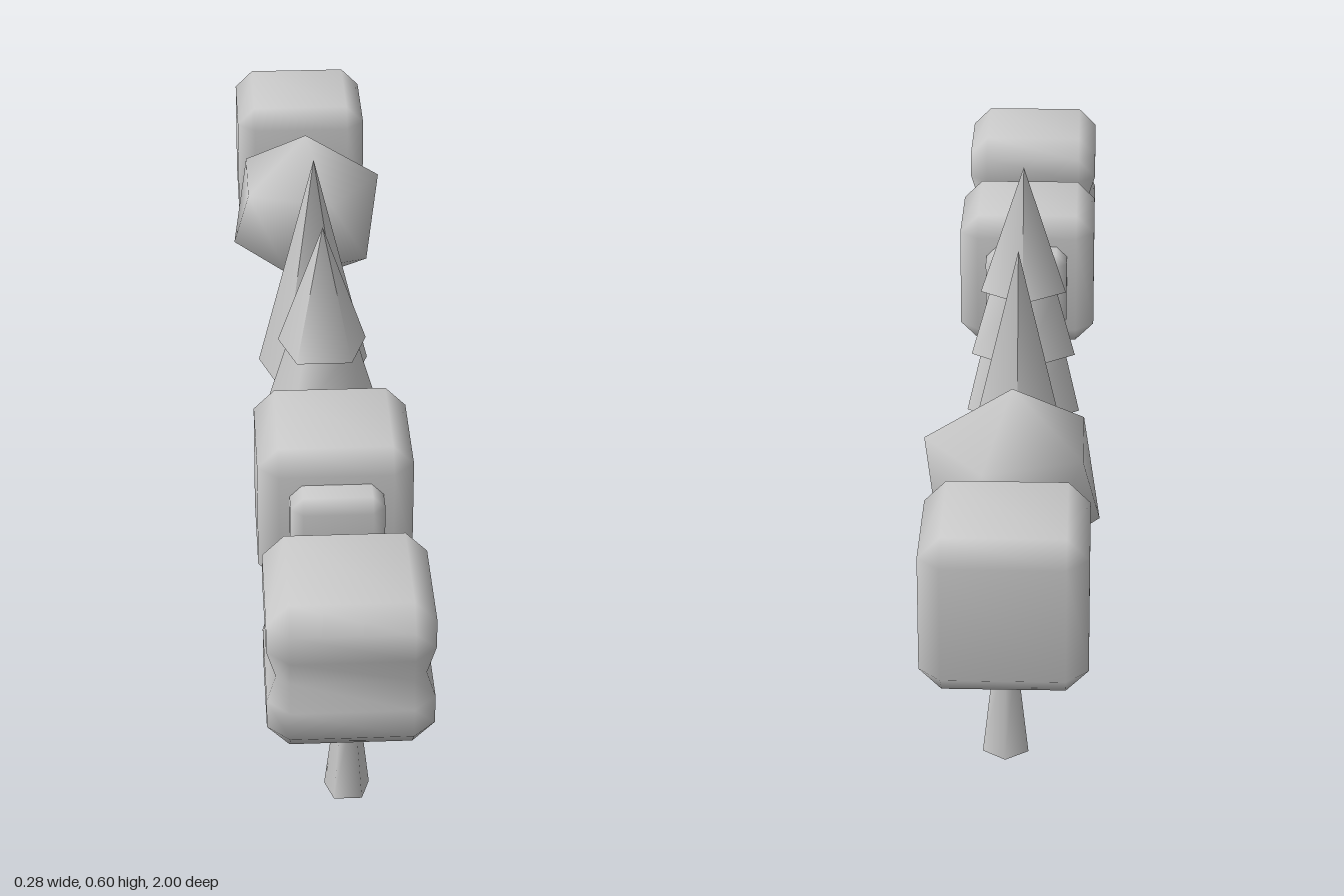
import * as THREE from 'three';
import { mergeVertices } from 'three/addons/utils/BufferGeometryUtils.js';

const material = new THREE.MeshStandardMaterial({ color: 0xcccccc });

function add(parent, name, geometry, y = 0, z = 0) {
  const mesh = new THREE.Mesh(geometry, material);
  mesh.name = name;
  mesh.position.set(0, y, z);
  parent.add(mesh);
  return mesh;
}

// Joins shared corners so the shading runs smoothly over the whole form
function smooth(geometry) {
  geometry.deleteAttribute('normal');
  geometry.deleteAttribute('uv');
  const merged = mergeVertices(geometry, 1e-5);
  merged.computeVertexNormals();
  return merged;
}

// Chamfered cube lofted from eight-cornered rings, optionally pinched at the waist
function chamferedCube(half, bevel, waist = 0) {
  const inner = half - bevel;
  const rings = [[-half, inner], [-inner, half]];
  if (waist) rings.push([-0.045, half], [0, half - waist], [0.045, half]);
  rings.push([inner, half], [half, inner]);

  const corners = rings.map(([y, a]) => {
    const c = Math.min(a, inner);
    return [[a, c], [c, a], [-c, a], [-a, c], [-a, -c], [-c, -a], [c, -a], [a, -c]]
      .map(([x, z]) => [x, y, z]);
  });
  const points = [];
  const tri = (a, b, c) => {
    const [p, q, r] = [a, b, c].map((v) => new THREE.Vector3(...v));
    if (q.sub(p).cross(r.sub(p)).length() > 1e-8) points.push(...a, ...b, ...c);
  };
  for (let i = 0; i < corners.length - 1; i++) {
    for (let j = 0; j < 8; j++) {
      const k = (j + 1) % 8;
      const [lo, hi] = [corners[i], corners[i + 1]];
      tri(lo[j], hi[j], hi[k]);
      tri(lo[j], hi[k], lo[k]);
    }
  }
  // Top and bottom faces, one corner from each doubled pair
  const top = corners[corners.length - 1], bottom = corners[0];
  tri(top[0], top[6], top[4]);
  tri(top[0], top[4], top[2]);
  tri(bottom[0], bottom[2], bottom[4]);
  tri(bottom[0], bottom[4], bottom[6]);

  const geometry = new THREE.BufferGeometry();
  geometry.setAttribute('position', new THREE.Float32BufferAttribute(points, 3));
  return smooth(geometry);
}

// Five-sided frustum standing on y = 0, one corner pointing backward
function frustum(topRadius, bottomRadius, height) {
  return new THREE.CylinderGeometry(topRadius, bottomRadius, height, 5)
    .rotateY(Math.PI)
    .translate(0, height / 2, 0);
}

function tree(parent, name, z) {
  const group = new THREE.Group();
  group.name = name;
  group.position.z = z;
  add(group, 'trunk', frustum(0.017, 0.037, 0.17));
  parent.add(group);
  return group;
}

export function createModel() {
  const model = new THREE.Group();
  model.name = 'treeRow';

  // Block tree with a pinched waist
  const waisted = tree(model, 'waistedTree', 0.873);
  add(waisted, 'crown', chamferedCube(0.127, 0.034, 0.014), 0.285);

  // Block tree with a smaller block on its front and back
  const clustered = tree(model, 'clusteredTree', 0.435);
  add(clustered, 'crown', chamferedCube(0.127, 0.034), 0.285);
  for (const side of [-1, 1]) {
    add(clustered, 'sideCrown', chamferedCube(0.076, 0.02), 0.287, side * 0.11);
  }

  // Tiered pine
  const pine = tree(model, 'tieredPine', 0.108);
  add(pine, 'lowerTier', frustum(0.08, 0.108, 0.115), 0.132);
  add(pine, 'middleTier', frustum(0.062, 0.099, 0.125), 0.243);
  add(pine, 'topTier', frustum(0, 0.081, 0.231), 0.364);

  // Plain pine
  const cone = tree(model, 'plainPine', -0.22);
  add(cone, 'crown', frustum(0, 0.108, 0.433), 0.132);

  // Round tree, its crown standing on a point
  const round = tree(model, 'roundTree', -0.547);
  const ball = new THREE.IcosahedronGeometry(0.158, 0);
  ball.rotateZ(-Math.atan(2 / (1 + Math.sqrt(5))));
  add(round, 'crown', smooth(ball), 0.302);

  // Plain block tree
  const block = tree(model, 'blockTree', -0.873);
  add(block, 'crown', chamferedCube(0.127, 0.034), 0.285);

  return model;
}
